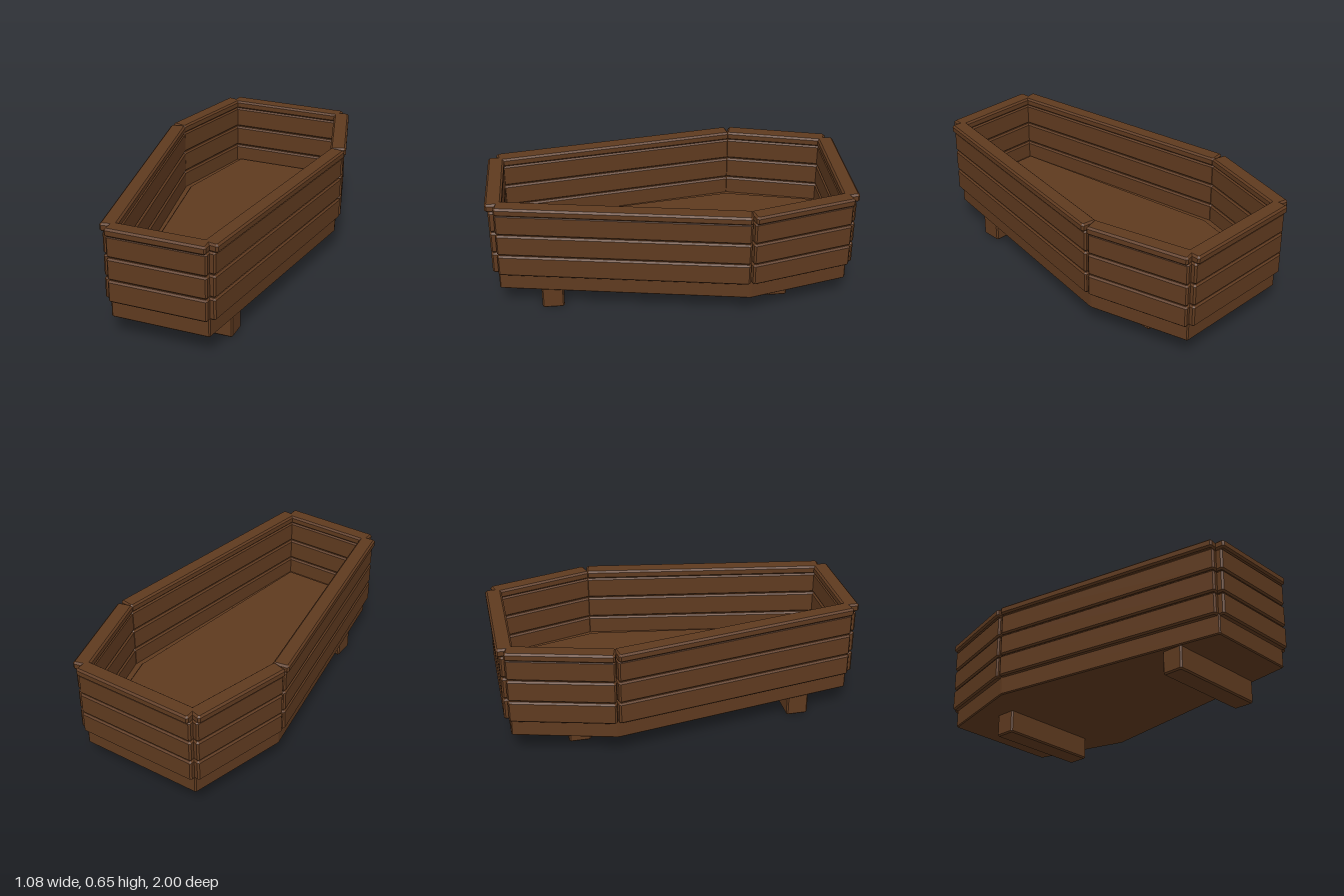
import * as THREE from 'three';

const wood = new THREE.MeshStandardMaterial({ color: 0x5f3a1f });
wood.name = 'brown wood';

// Cut each corner of a closed [x, z] outline by length c
function chamfer(points, c) {
  const n = points.length;
  const toward = (p, q) => {
    const t = c / Math.hypot(q[0] - p[0], q[1] - p[1]);
    return new THREE.Vector2(p[0] + (q[0] - p[0]) * t, -(p[1] + (q[1] - p[1]) * t));
  };
  return points.flatMap((p, i) => [toward(p, points[(i + n - 1) % n]), toward(p, points[(i + 1) % n])]);
}

// Flat slab from an [x, z] outline, with every edge chamfered by c
function slab(name, outline, y0, y1, c) {
  const geo = new THREE.ExtrudeGeometry(new THREE.Shape(chamfer(outline, c)), {
    depth: y1 - y0 - 2 * c, bevelEnabled: true, bevelSegments: 1,
    bevelSize: c, bevelThickness: c, bevelOffset: -c,
  });
  geo.rotateX(-Math.PI / 2);
  geo.translate(0, y0 + c, 0);
  const mesh = new THREE.Mesh(geo, wood);
  mesh.name = name;
  return mesh;
}

// Straight beam along x, centred on x and z
function beam(name, length, width, y0, y1, c) {
  const x = length / 2, z = width / 2;
  return slab(name, [[-x, z], [x, z], [x, -z], [-x, -z]], y0, y1, c);
}

// Beam whose outer face runs from a to b, pushed inward by inset
function board(name, [a, b], inset, thick, y0, y1, c) {
  const dx = b[0] - a[0], dz = b[1] - a[1], len = Math.hypot(dx, dz);
  const mx = (a[0] + b[0]) / 2, mz = (a[1] + b[1]) / 2;
  let nx = -dz / len, nz = dx / len;
  if (nx * mx + nz * mz > 0) { nx = -nx; nz = -nz; }
  const mesh = beam(name, len, thick, y0, y1, c);
  const off = inset + thick / 2;
  mesh.position.set(mx + nx * off, 0, mz + nz * off);
  mesh.rotation.y = Math.atan2(-dz, dx);
  return mesh;
}

const hexagon = (foot, zf, mid, zm, head, zh) => [
  [-foot, zf], [foot, zf], [mid, zm], [head, zh], [-head, zh], [-mid, zm],
];

export function createModel() {
  const model = new THREE.Group();
  model.name = 'planter';

  // Six wall runs seen from above
  const walls = [
    ['foot', [[-0.273, 1], [0.273, 1]]],
    ['head', [[-0.35, -1], [0.35, -1]]],
  ];
  for (const [side, s] of [['left', 1], ['right', -1]]) {
    walls.push([side + 'Long', [[s * 0.543, -0.391], [s * 0.318, 0.957]]]);
    walls.push([side + 'Shoulder', [[s * 0.543, -0.413], [s * 0.395, -0.968]]]);
  }

  // Three courses of planks and a wider rim
  const planks = [[0.229, 0.353], [0.358, 0.481], [0.486, 0.608]];
  for (const [wall, line] of walls) {
    const group = new THREE.Group();
    group.name = wall + 'Wall';
    for (const [y0, y1] of planks) group.add(board('plank', line, 0.015, 0.072, y0, y1, 0.009));
    group.add(board('rim', line, 0, 0.09, 0.608, 0.655, 0.01));
    model.add(group);
  }

  // Base and inner floor panel
  model.add(slab('base', hexagon(0.273, 0.954, 0.5, -0.4, 0.352, -0.954), 0.127, 0.255, 0.006));
  model.add(slab('floorPanel', hexagon(0.227, 0.894, 0.42, -0.39, 0.294, -0.902), 0.2, 0.268, 0.004));

  // Cross feet
  for (const [name, z] of [['frontFoot', 0.667], ['backFoot', -0.58]]) {
    const foot = beam(name, 0.605, 0.122, 0, 0.135, 0.008);
    foot.position.z = z;
    model.add(foot);
  }
  return model;
}
